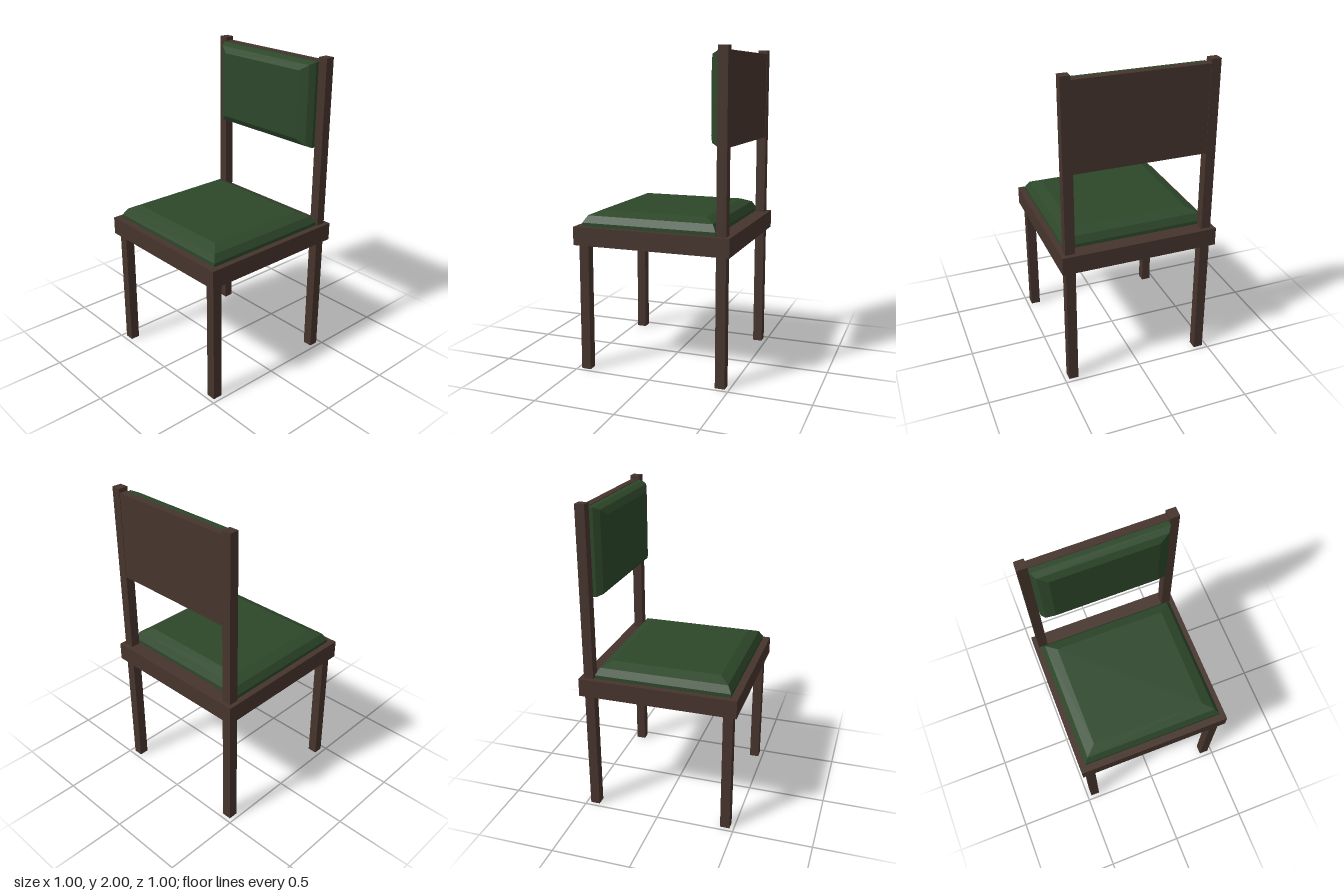
import * as THREE from 'three';

const wood = new THREE.MeshStandardMaterial({ color: 0x46342d, flatShading: true });
const fabric = new THREE.MeshStandardMaterial({ color: 0x2d472a, flatShading: true });

// Box given by its lower and upper corners
function box(name, [x0, y0, z0], [x1, y1, z1]) {
  const mesh = new THREE.Mesh(new THREE.BoxGeometry(x1 - x0, y1 - y0, z1 - z0), wood);
  mesh.name = name;
  mesh.position.set((x0 + x1) / 2, (y0 + y1) / 2, (z0 + z1) / 2);
  return mesh;
}

// Pad lofted through rectangular rings: each ring is [halfWidth, halfDepth, height]
function cushion(name, rings) {
  const corners = [[1, 1], [1, -1], [-1, -1], [-1, 1]];
  const point = (i, k) => {
    const [w, d, h] = rings[i];
    const [sx, sz] = corners[k % 4];
    return [sx * w, h, sz * d];
  };
  const pos = [];
  const quad = (a, b, c, d) => pos.push(...a, ...b, ...c, ...a, ...c, ...d);
  const top = rings.length - 1;
  for (let i = 0; i < top; i++) {
    for (let k = 0; k < 4; k++) {
      quad(point(i, k), point(i, k + 1), point(i + 1, k + 1), point(i + 1, k));
    }
  }
  quad(point(top, 0), point(top, 1), point(top, 2), point(top, 3));
  quad(point(0, 3), point(0, 2), point(0, 1), point(0, 0));
  const geo = new THREE.BufferGeometry();
  geo.setAttribute('position', new THREE.Float32BufferAttribute(pos, 3));
  geo.computeVertexNormals();
  const mesh = new THREE.Mesh(geo, fabric);
  mesh.name = name;
  return mesh;
}

export function createModel() {
  const chair = new THREE.Group();
  chair.name = 'chair';

  // Seat board
  chair.add(box('seatFrame', [-0.5, 0.805, -0.5], [0.5, 0.92, 0.5]));

  // Front legs, and rear posts running up to carry the back
  for (const [side, x0, x1] of [['left', 0.412, 0.473], ['right', -0.473, -0.412]]) {
    chair.add(box(side + 'FrontLeg', [x0, 0, 0.412], [x1, 0.81, 0.473]));
    chair.add(box(side + 'BackPost', [x0, 0, -0.473], [x1, 2, -0.412]));
  }

  // Back panel between the posts
  chair.add(box('backPanel', [-0.412, 1.43, -0.47], [0.412, 1.975, -0.423]));

  // Seat cushion
  const seat = cushion('seatCushion', [
    [0.462, 0.43, 0.92], [0.462, 0.43, 0.942], [0.435, 0.405, 0.985], [0.368, 0.343, 1.012],
  ]);
  seat.position.z = 0.025;
  chair.add(seat);

  // Back cushion, turned to face forward
  const back = cushion('backCushion', [
    [0.411, 0.268, 0], [0.411, 0.268, 0.032], [0.387, 0.252, 0.068], [0.328, 0.214, 0.092],
  ]);
  back.rotation.x = Math.PI / 2;
  back.position.set(0, 1.703, -0.423);
  chair.add(back);

  return chair;
}
